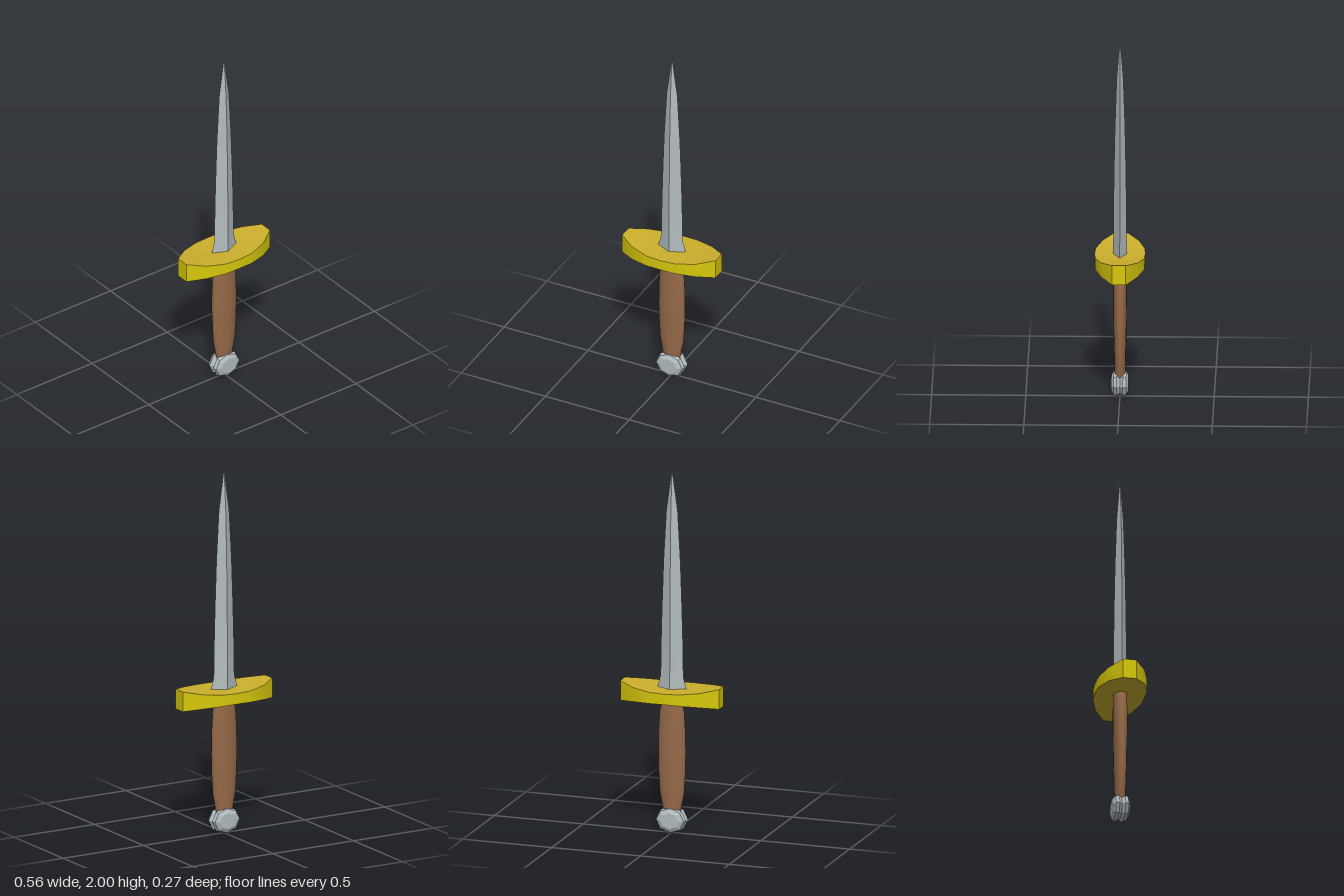
import * as THREE from 'three';
import { toCreasedNormals } from 'three/addons/utils/BufferGeometryUtils.js';

const material = (name, color) => {
  const m = new THREE.MeshStandardMaterial({ color });
  m.name = name;
  return m;
};

// Skin a list of rings; each ring runs counterclockwise about the loft direction.
// keep(j) chooses which sides are built; caps closes both ends.
function loft(rings, crease, { caps = true, keep = () => true } = {}) {
  const pos = [];
  const tri = (...pts) => pts.forEach((p) => pos.push(...p));
  const n = rings[0].length;
  for (let i = 0; i < rings.length - 1; i++) {
    for (let j = 0; j < n; j++) {
      if (!keep(j)) continue;
      const k = (j + 1) % n;
      const [a, b, c, d] = [rings[i][j], rings[i][k], rings[i + 1][k], rings[i + 1][j]];
      tri(a, b, c);
      tri(a, c, d);
    }
  }
  if (caps) {
    const first = rings[0], last = rings[rings.length - 1];
    for (let j = 1; j < n - 1; j++) {
      tri(first[0], first[j + 1], first[j]);
      tri(last[0], last[j], last[j + 1]);
    }
  }
  const g = new THREE.BufferGeometry();
  g.setAttribute('position', new THREE.Float32BufferAttribute(pos, 3));
  return toCreasedNormals(g, crease);
}

// Elliptical ring lying flat at height y
const ringY = (sides, y, rx, rz) =>
  Array.from({ length: sides }, (_, j) => {
    const a = (j / sides) * Math.PI * 2;
    return [Math.sin(a) * rx, y, Math.cos(a) * rz];
  });

export function createModel() {
  const steel = material('steel', 0xb1bbbd);
  const wood = material('wood', 0x966a49);
  const goldFace = material('goldFace', 0xcdb02d);
  const goldRim = material('goldRim', 0xd8c80c);

  const group = new THREE.Group();
  group.name = 'dagger';
  const add = (name, geometry, mat) => {
    const mesh = new THREE.Mesh(geometry, mat);
    mesh.name = name;
    group.add(mesh);
  };

  // Blade: diamond sections [y, half width, half depth]
  const blade = [
    [0.77, 0.086, 0.037], [0.79, 0.083, 0.037], [0.86, 0.064, 0.036], [1.1, 0.06, 0.034],
    [1.3, 0.054, 0.031], [1.5, 0.047, 0.027], [1.77, 0.032, 0.018], [2, 0.0005, 0.0005],
  ];
  add('blade', loft(blade.map((s) => ringY(4, ...s)), 0.4), steel);

  // Crossguard: rectangular sections [x, half depth, bottom, top], mirrored in x
  const half = [
    [0, 0.135, 0.737, 0.795], [0.085, 0.131, 0.735, 0.797],
    [0.19, 0.097, 0.727, 0.806], [0.278, 0.036, 0.711, 0.82],
  ];
  const stations = [...half.slice(1).reverse().map(([x, ...r]) => [-x, ...r]), ...half];
  const guard = stations.map(([x, z, lo, hi]) => [[x, lo, -z], [x, hi, -z], [x, hi, z], [x, lo, z]]);
  add('guardRim', loft(guard, 0.7, { keep: (j) => j % 2 === 0 }), goldRim);
  add('guardFaces', loft(guard, 0.7, { caps: false, keep: (j) => j % 2 === 1 }), goldFace);

  // Grip: smooth flattened swell
  const grip = [
    [0.1, 0.044, 0.027], [0.14, 0.053, 0.03], [0.22, 0.069, 0.031], [0.32, 0.075, 0.034],
    [0.44, 0.078, 0.036], [0.56, 0.076, 0.037], [0.67, 0.069, 0.037], [0.76, 0.05, 0.036],
  ];
  add('grip', loft(grip.map((s) => ringY(16, ...s)), 1), wood);

  // Pommel: faceted octagonal disc with a groove round its middle, [z, radius]
  const pommel = [
    [-0.046, 0.052], [-0.034, 0.077], [-0.016, 0.085], [0, 0.066],
    [0.016, 0.085], [0.034, 0.077], [0.046, 0.052],
  ].map(([z, r]) =>
    Array.from({ length: 8 }, (_, j) => {
      const a = (j / 8) * Math.PI * 2;
      return [Math.cos(a) * r, 0.073 + Math.sin(a) * r * 0.86, z];
    }));
  add('pommel', loft(pommel, 0.2), steel);

  return group;
}
